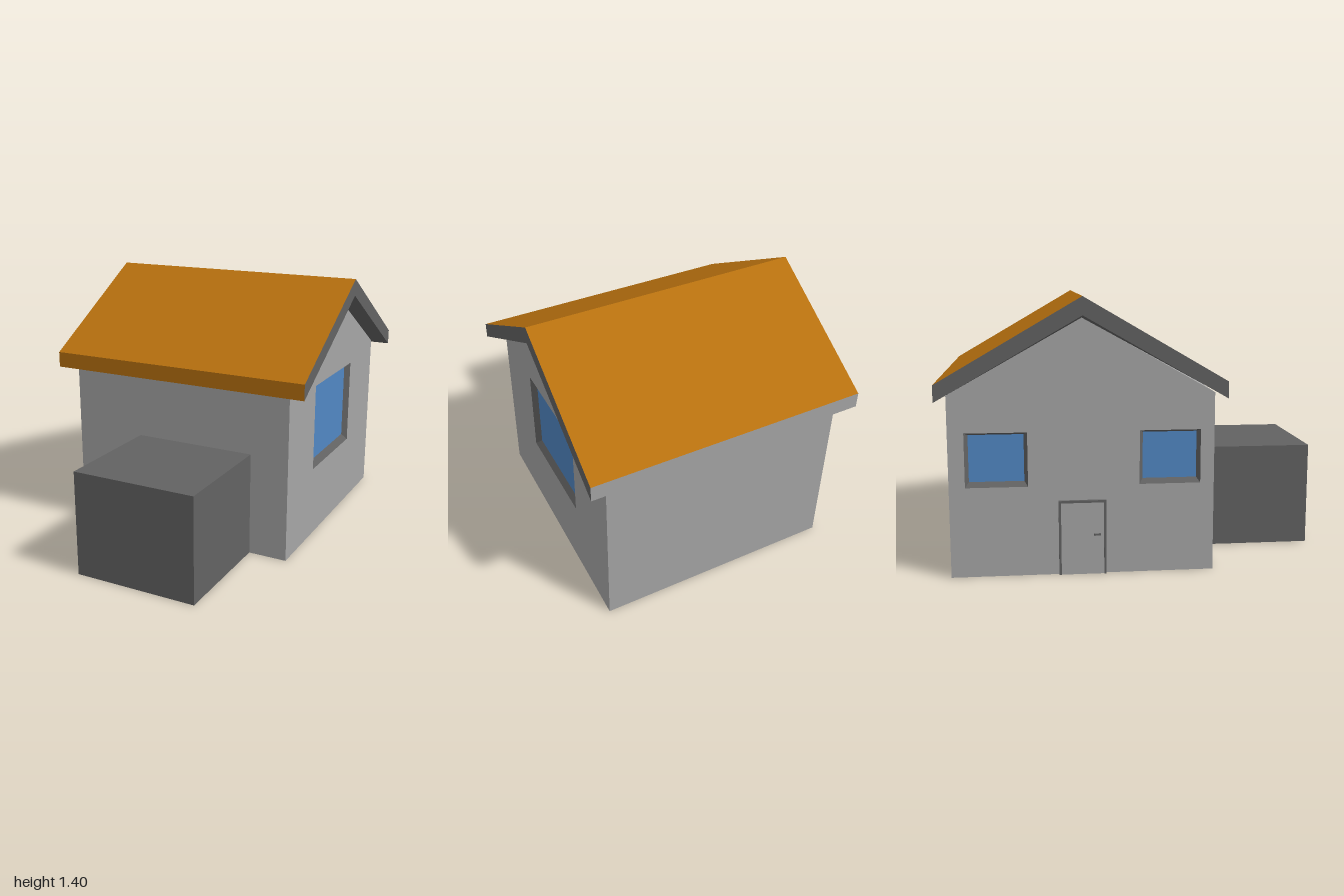
import * as THREE from 'three';

const makeMaterial = (name, color) => {
  const m = new THREE.MeshStandardMaterial({ color, side: THREE.DoubleSide });
  m.name = name;
  return m;
};

// Flat-shaded surface from a list of four-cornered faces
function quads(faces) {
  const pos = [];
  for (const [a, b, c, d] of faces) pos.push(...a, ...b, ...c, ...a, ...c, ...d);
  const g = new THREE.BufferGeometry();
  g.setAttribute('position', new THREE.Float32BufferAttribute(pos, 3));
  g.computeVertexNormals();
  return g;
}

export function createModel() {
  const house = new THREE.Group();
  house.name = 'house';
  const wallMat = makeMaterial('wall grey', 0xa5a5a5);
  const darkMat = makeMaterial('dark grey', 0x626262);
  const roofMat = makeMaterial('roof orange', 0xb8710f);
  const glassMat = makeMaterial('glass blue', 0x5187c3);

  const add = (parent, name, geometry, material) => {
    const mesh = new THREE.Mesh(geometry, material);
    mesh.name = name;
    parent.add(mesh);
    return mesh;
  };
  const box = (parent, name, size, at, material) =>
    add(parent, name, new THREE.BoxGeometry(...size), material).position.set(...at);

  const ridgeZ = -0.286, wallX = 0.64, slab = 0.03, recess = 0.025;

  // Window openings: side, outer z and y range, inset at sides, top and bottom
  const windows = [
    { name: 'largeWindow', s: 1, z: [-0.555, 0.015], y: [0.39, 0.865], side: 0.035, top: 0.02, sill: 0.038 },
    { name: 'backWindow', s: -1, z: [-0.87, -0.56], y: [0.46, 0.735], side: 0.018, top: 0.012, sill: 0.025 },
    { name: 'frontWindow', s: -1, z: [0, 0.31], y: [0.46, 0.735], side: 0.018, top: 0.012, sill: 0.025 },
  ];

  // Gabled body: solid core with pierced end walls
  const gable = (openings, depth) => {
    const shape = new THREE.Shape([
      [-0.95, 0], [0.38, 0], [0.38, 0.922], [ridgeZ, 1.3], [-0.95, 0.922],
    ].map(p => new THREE.Vector2(...p)));
    for (const { z, y } of openings) {
      shape.holes.push(new THREE.Path([
        [z[0], y[0]], [z[0], y[1]], [z[1], y[1]], [z[1], y[0]],
      ].map(p => new THREE.Vector2(...p))));
    }
    return new THREE.ExtrudeGeometry(shape, { depth, bevelEnabled: false })
      .translate(0, 0, -depth / 2).rotateY(-Math.PI / 2);
  };
  add(house, 'wallCore', gable([], 2 * (wallX - slab)), wallMat);
  for (const s of [1, -1]) {
    const end = gable(windows.filter(w => w.s === s), slab);
    add(house, s > 0 ? 'leftEndWall' : 'rightEndWall', end, wallMat).position.x = s * (wallX - slab / 2);
  }

  // Splayed window surrounds with recessed panes
  for (const w of windows) {
    const g = new THREE.Group();
    g.name = w.name;
    house.add(g);
    const ring = (x, side, top, sill) => {
      const z0 = w.z[0] + side, z1 = w.z[1] - side, y0 = w.y[0] + sill, y1 = w.y[1] - top;
      const r = [[x, y0, z0], [x, y1, z0], [x, y1, z1], [x, y0, z1]];
      return w.s > 0 ? r : r.reverse();
    };
    const outer = ring(w.s * wallX, 0, 0, 0);
    const inner = ring(w.s * (wallX - recess), w.side, w.top, w.sill);
    add(g, 'windowSurround', quads(outer.map((p, i) => {
      const j = (i + 1) % 4;
      return [p, outer[j], inner[j], inner[i]];
    })), darkMat);
    add(g, 'windowPane', quads([inner]), glassMat);
  }

  // Roof: orange slopes and front fascia, grey back fascia, dark ends and soffit
  const rx = 0.735, front = 0.428, back = -1;
  const topY = 0.987, lowY = 0.903, ridgeY = 1.403;
  const across = (y1, z1, y2, z2) => [[-rx, y1, z1], [rx, y1, z1], [rx, y2, z2], [-rx, y2, z2]];
  add(house, 'roofFrontSlope', quads([across(topY, front, ridgeY, ridgeZ)]), roofMat);
  add(house, 'roofBackSlope', quads([across(ridgeY, ridgeZ, topY, back)]), roofMat);
  add(house, 'roofFrontFascia', quads([across(lowY, front, topY, front)]), roofMat);
  add(house, 'roofBackFascia', quads([across(topY, back, lowY, back)]), wallMat);
  const ends = [], soffit = [];
  for (const z of [front, back]) {
    for (const s of [1, -1]) {
      const x = s * rx, xi = s * wallX;
      const end = [[x, lowY, z], [x, topY, z], [x, ridgeY, ridgeZ], [x, 1.312, ridgeZ]];
      const under = [[x, lowY, z], [x, 1.312, ridgeZ], [xi, 1.297, ridgeZ], [xi, lowY, z]];
      const flip = (s > 0) === (z === front);
      ends.push(flip ? end : end.reverse());
      soffit.push(flip ? under : under.reverse());
    }
    const mid = [[-wallX, lowY, z], [wallX, lowY, z], [wallX, 1.297, ridgeZ], [-wallX, 1.297, ridgeZ]];
    soffit.push(z === front ? mid.reverse() : mid);
  }
  add(house, 'roofEnds', quads(ends), darkMat);
  add(house, 'roofSoffit', quads(soffit), darkMat);

  // Garage block at the front
  box(house, 'garage', [0.67, 0.56, 0.62], [0.095, 0.28, 0.69], darkMat);

  // Side door with trim and handle
  const door = new THREE.Group();
  door.name = 'door';
  house.add(door);
  for (const z of [-0.404, -0.176]) box(door, 'doorJamb', [0.015, 0.385, 0.012], [-0.6475, 0.1925, z], darkMat);
  box(door, 'doorHead', [0.015, 0.012, 0.216], [-0.6475, 0.379, -0.29], darkMat);
  box(door, 'doorPanel', [0.012, 0.373, 0.216], [-0.646, 0.1865, -0.29], wallMat);
  box(door, 'doorHandle', [0.008, 0.01, 0.035], [-0.656, 0.207, -0.215], darkMat);

  return house;
}
